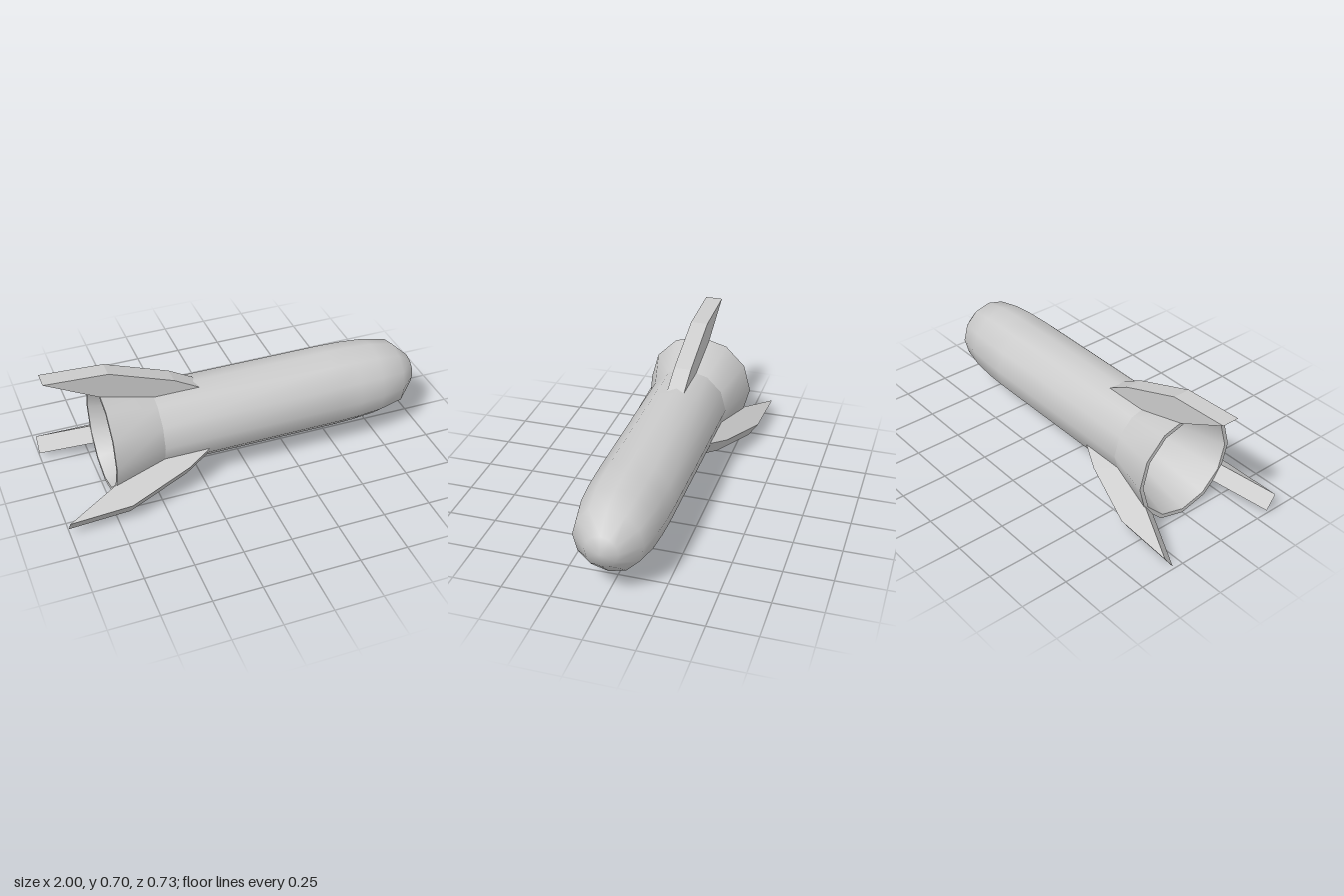
import * as THREE from 'three';
import { mergeVertices } from 'three/addons/utils/BufferGeometryUtils.js';

const SIDES = 12;
const AXIS_Y = 0.292;
const material = new THREE.MeshStandardMaterial({ color: 0xcccccc });

// Profile of [x, radius] pairs spun around the x axis, with smooth normals
function spun(name, profile) {
  const points = profile.map(([x, r]) => new THREE.Vector2(r, x));
  let geometry = new THREE.LatheGeometry(points, SIDES);
  geometry.deleteAttribute('uv');
  geometry.deleteAttribute('normal');
  geometry = mergeVertices(geometry, 1e-5);
  geometry.computeVertexNormals();
  geometry.rotateZ(-Math.PI / 2);
  const mesh = new THREE.Mesh(geometry, material);
  mesh.name = name;
  return mesh;
}

// Flat swept fin, outlined in x and distance from the axis
function finGeometry() {
  const outline = [
    [-1, 0.413], [-0.73, 0.274], [-0.46, 0.204], [-0.22, 0.204],
    [-0.35, 0.277], [-0.68, 0.398],
  ].map(([x, r]) => new THREE.Vector2(x, r));
  const width = 0.092;
  const geometry = new THREE.ExtrudeGeometry(new THREE.Shape(outline), {
    depth: width, bevelEnabled: false,
  });
  return geometry.translate(0, 0, -width / 2);
}

export function createModel() {
  const rocket = new THREE.Group();
  rocket.name = 'rocket';
  const craft = new THREE.Group();
  craft.name = 'craft';
  craft.position.y = AXIS_Y;
  rocket.add(craft);

  // Straight body running into the rounded nose
  craft.add(spun('bodyAndNose', [
    [-0.46, 0.215], [0.5, 0.215], [0.62, 0.212], [0.75, 0.202],
    [0.88, 0.175], [0.975, 0.083], [1, 0],
  ]));

  // Flared tail, its rim and the hollow inside
  craft.add(spun('tailFlare', [[-0.73, 0.289], [-0.46, 0.215]]));
  craft.add(spun('tailRim', [[-0.73, 0.267], [-0.73, 0.289]]));
  craft.add(spun('hollow', [
    [0.95, 0], [0.86, 0.155], [0.6, 0.194], [-0.46, 0.194], [-0.73, 0.267],
  ]));

  // One upright fin and two lower ones
  const geometry = finGeometry();
  [['topFin', 0], ['frontFin', 124.5], ['backFin', -124.5]].forEach(([name, angle]) => {
    const fin = new THREE.Mesh(geometry, material);
    fin.name = name;
    fin.rotation.x = THREE.MathUtils.degToRad(angle);
    craft.add(fin);
  });

  return rocket;
}
